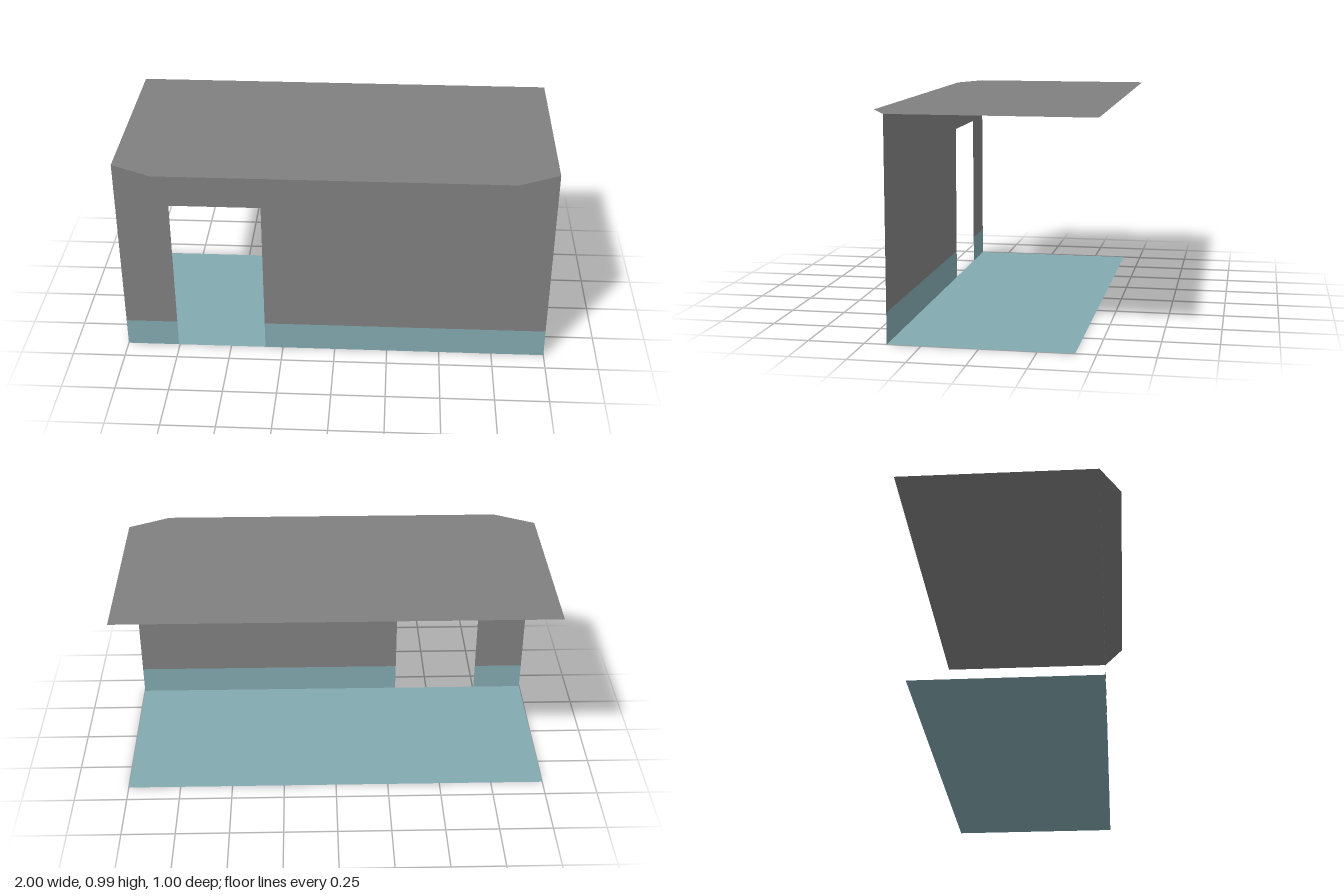
import * as THREE from 'three';

const grey = new THREE.MeshStandardMaterial({ color: 0x808080, side: THREE.DoubleSide });
const teal = new THREE.MeshStandardMaterial({ color: 0x82a9b0, side: THREE.DoubleSide });

// Flat sheet from an outline of [x, y] points
function sheet(name, points, material) {
  const shape = new THREE.Shape(points.map(([x, y]) => new THREE.Vector2(x, y)));
  const mesh = new THREE.Mesh(new THREE.ShapeGeometry(shape), material);
  mesh.name = name;
  return mesh;
}

const rect = (x0, y0, x1, y1) => [[x0, y0], [x1, y0], [x1, y1], [x0, y1]];

export function createModel() {
  const model = new THREE.Group();
  model.name = 'shelter';

  const height = 0.985, wallZ = 0.4, back = -0.41;
  const doorRight = -0.755, doorLeft = -0.335, doorTop = 0.78;
  const bandRight = 0.134, bandLeft = 0.139;

  // Front wall with its doorway, standing on a coloured skirting band
  const frontWall = new THREE.Group();
  frontWall.name = 'frontWall';
  frontWall.position.z = wallZ;
  frontWall.add(
    sheet('wallPanel', [
      [-1, bandRight], [doorRight, bandRight], [doorRight, doorTop], [doorLeft, doorTop],
      [doorLeft, bandLeft], [1, bandLeft], [1, height], [-1, height],
    ], grey),
    sheet('rightSkirting', rect(-1, 0, doorRight, bandRight), teal),
    sheet('leftSkirting', rect(doorLeft, 0, 1, bandLeft), teal),
  );
  model.add(frontWall);

  // Floor, outlined in x and -z and laid flat
  const floor = sheet('floor', rect(-1, -wallZ, 1, -back), teal);
  floor.rotation.x = -Math.PI / 2;
  model.add(floor);

  // Roof, with a chamfered overhang in front of the wall
  const roof = sheet('roof', [
    [-1, 0.5], [-1, -wallZ], [-0.81, -0.495], [0.81, -0.495], [1, -wallZ], [1, 0.5],
  ], grey);
  roof.rotation.x = -Math.PI / 2;
  roof.position.y = height;
  model.add(roof);

  return model;
}
